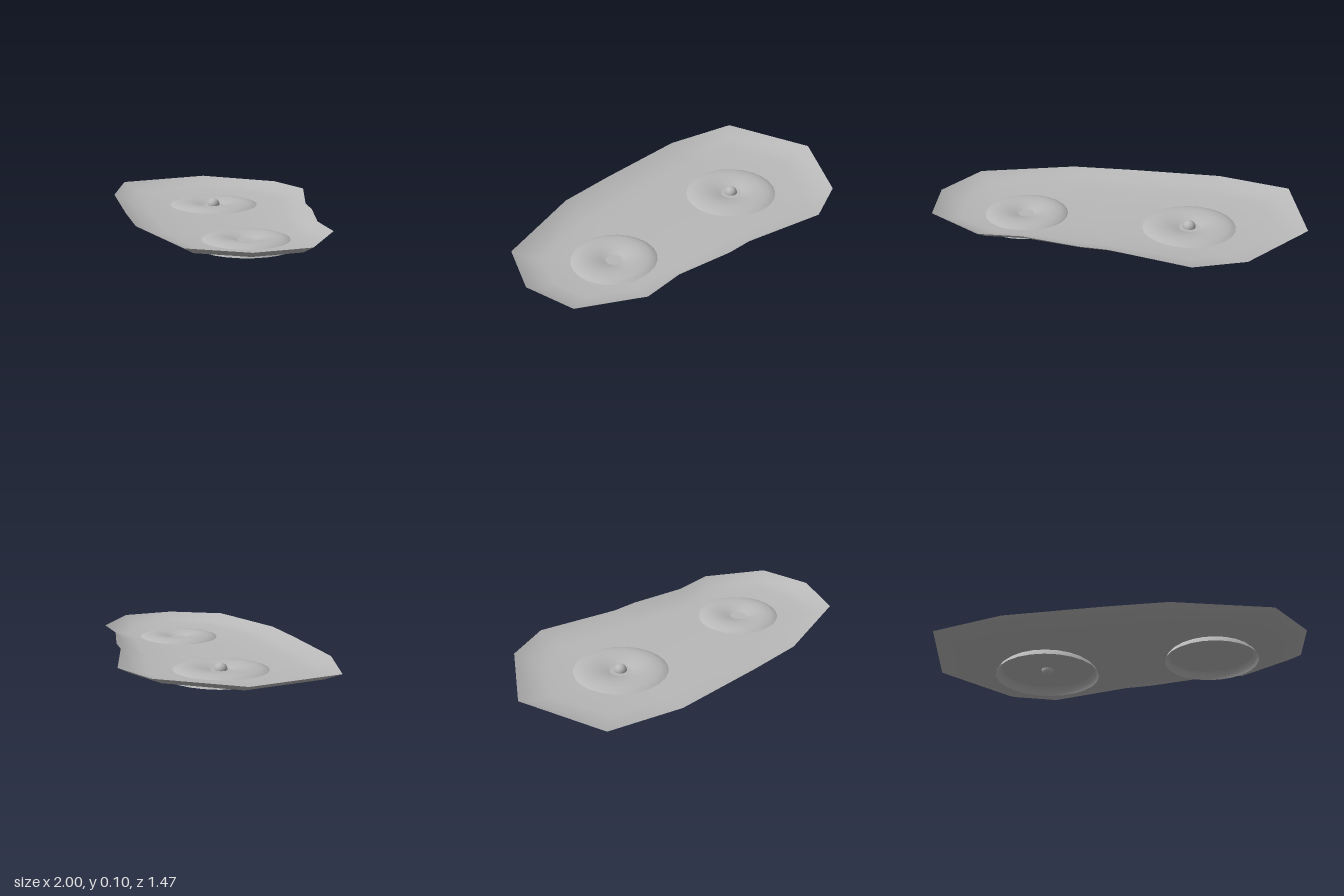
import * as THREE from 'three';

const grey = new THREE.MeshStandardMaterial({ color: 0xb8b8b8, side: THREE.DoubleSide });
grey.name = 'grey';

const centreA = new THREE.Vector2(-0.34, -0.175);
const centreB = new THREE.Vector2(0.48, 0.23);

// Shallow dish: rim outline drawn in, ring by ring, towards the line joining the two mounds
function dishGeometry() {
  const rim = [
    [-1, 0.02], [-0.89, -0.5], [-0.46, -0.735], [-0.17, -0.715], [0.19, -0.42], [0.32, -0.35], [0.58, -0.16],
    [0.8, -0.07], [1, 0.24], [0.91, 0.53], [0.65, 0.73], [0.11, 0.65], [-0.19, 0.52], [-0.68, 0.29],
  ];
  const levels = [[0, 0.098], [0.14, 0.06], [0.3, 0.05], [0.5, 0.041], [0.75, 0.037], [1, 0.036]]; // inset, height
  const axis = centreB.clone().sub(centreA);
  const pos = [], idx = [], n = rim.length;
  for (const [t, y] of levels) {
    for (const [x, z] of rim) {
      const p = new THREE.Vector2(x, z);
      const k = THREE.MathUtils.clamp(p.clone().sub(centreA).dot(axis) / axis.lengthSq(), 0, 1);
      p.lerp(centreA.clone().addScaledVector(axis, k), t);
      pos.push(p.x, y, p.y);
    }
  }
  for (let l = 0; l < levels.length - 1; l++) {
    for (let i = 0; i < n; i++) {
      const a = l * n + i, b = l * n + (i + 1) % n;
      idx.push(a, a + n, b, b, a + n, b + n);
    }
  }
  const g = new THREE.BufferGeometry();
  g.setAttribute('position', new THREE.Float32BufferAttribute(pos, 3));
  g.setIndex(idx);
  // Outline runs clockwise from above, so reverse the faces to point up
  for (let i = 0; i < idx.length; i += 3) [idx[i], idx[i + 1]] = [idx[i + 1], idx[i]];
  g.setIndex(idx);
  g.computeVertexNormals();
  if (g.attributes.normal.getY(n * 2) < 0) {
    g.setIndex(idx.reverse());
    g.computeVertexNormals();
  }
  return g;
}

export function createModel() {
  const group = new THREE.Group();
  const add = (name, geometry, x = 0, y = 0, z = 0) => {
    const mesh = new THREE.Mesh(geometry, grey);
    mesh.name = name;
    mesh.position.set(x, y, z);
    group.add(mesh);
    return mesh;
  };

  add('dish', dishGeometry());

  // Low ring-shaped mounds with a dimple, open underneath
  const profile = [
    [0.285, 0], [0.272, 0.024], [0.25, 0.042], [0.215, 0.054], [0.17, 0.058], [0.125, 0.054], [0.085, 0.045], [0.05, 0.034],
  ].map(([r, y]) => new THREE.Vector2(r, y));
  const mound = new THREE.LatheGeometry(profile, 24);
  add('largeMound', mound, centreA.x, 0, centreA.y);
  add('smallMound', mound, centreB.x, 0.004, centreB.y).scale.set(0.89, 0.95, 0.89);

  // Small ball resting in the large dimple
  add('ball', new THREE.SphereGeometry(0.034, 20, 14), centreA.x, 0.04, centreA.y);
  return group;
}
